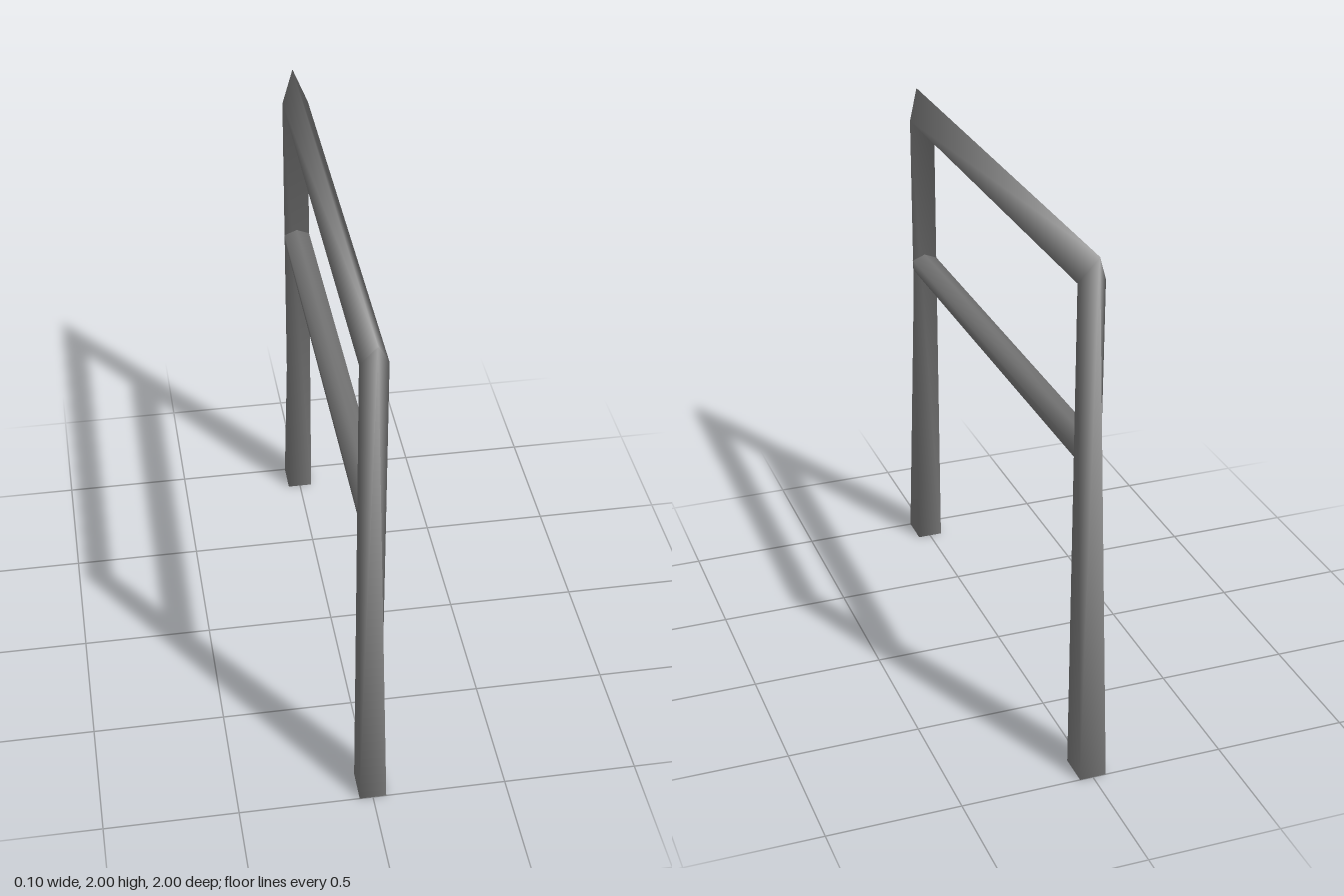
import * as THREE from 'three';
import { mergeVertices } from 'three/addons/utils/BufferGeometryUtils.js';

const darkGrey = new THREE.MeshStandardMaterial({ color: 0x727272, side: THREE.DoubleSide });
const lightGrey = new THREE.MeshStandardMaterial({ color: 0xeeeeee });

// Smooth open tube through rings of [x, y, z] points, each ring
// counter-clockwise when seen from the next one.
function loft(name, rings) {
  const n = rings[0].length;
  const index = [];
  for (let r = 0; r < rings.length - 1; r++) {
    for (let i = 0; i < n; i++) {
      const a = r * n + i;
      const b = r * n + (i + 1) % n;
      index.push(a, b, a + n, b, b + n, a + n);
    }
  }
  let geometry = new THREE.BufferGeometry();
  geometry.setAttribute('position', new THREE.Float32BufferAttribute(rings.flat(2), 3));
  geometry.setIndex(index);
  geometry = mergeVertices(geometry);
  geometry.computeVertexNormals();
  const mesh = new THREE.Mesh(geometry, darkGrey);
  mesh.name = name;
  return mesh;
}

export function createModel() {
  const group = new THREE.Group();
  group.name = 'barFrame';
  const W = 0.05;                       // half thickness
  const footOuter = 1, footInner = 0.875;

  // Rectangular foot and triangular mitre, on the front (s = 1) or back (s = -1)
  const foot = (s) => [
    [-W, 0, s * footOuter], [W, 0, s * footOuter], [W, 0, s * footInner], [-W, 0, s * footInner]
  ];
  const mitre = (s) => [
    [0, 2, s * 0.955], [0, 2, s * 0.955], [W, 1.89, s * 0.89], [-W, 1.89, s * 0.89]
  ];

  // Legs and top bar in one sweep, smooth round the mitred corners
  group.add(loft('legsAndTopBar', [foot(1), mitre(1), mitre(-1), foot(-1)]));

  // Pale soles under the feet
  for (const [name, s] of [['frontSole', 1], ['backSole', -1]]) {
    const sole = new THREE.Mesh(new THREE.PlaneGeometry(2 * W, footOuter - footInner), lightGrey);
    sole.name = name;
    sole.rotation.x = Math.PI / 2;
    sole.position.z = s * (footOuter + footInner) / 2;
    group.add(sole);
  }

  // Middle rail: broad shoulders above, narrowing to a keel below; ends sit in the legs
  const profile = [[0, 1.315], [-W, 1.295], [-0.046, 1.25], [0, 1.187], [0.046, 1.25], [W, 1.295]];
  group.add(loft('middleRail', [-0.89, 0.89].map((z) => profile.map(([x, y]) => [x, y, z]))));

  return group;
}
